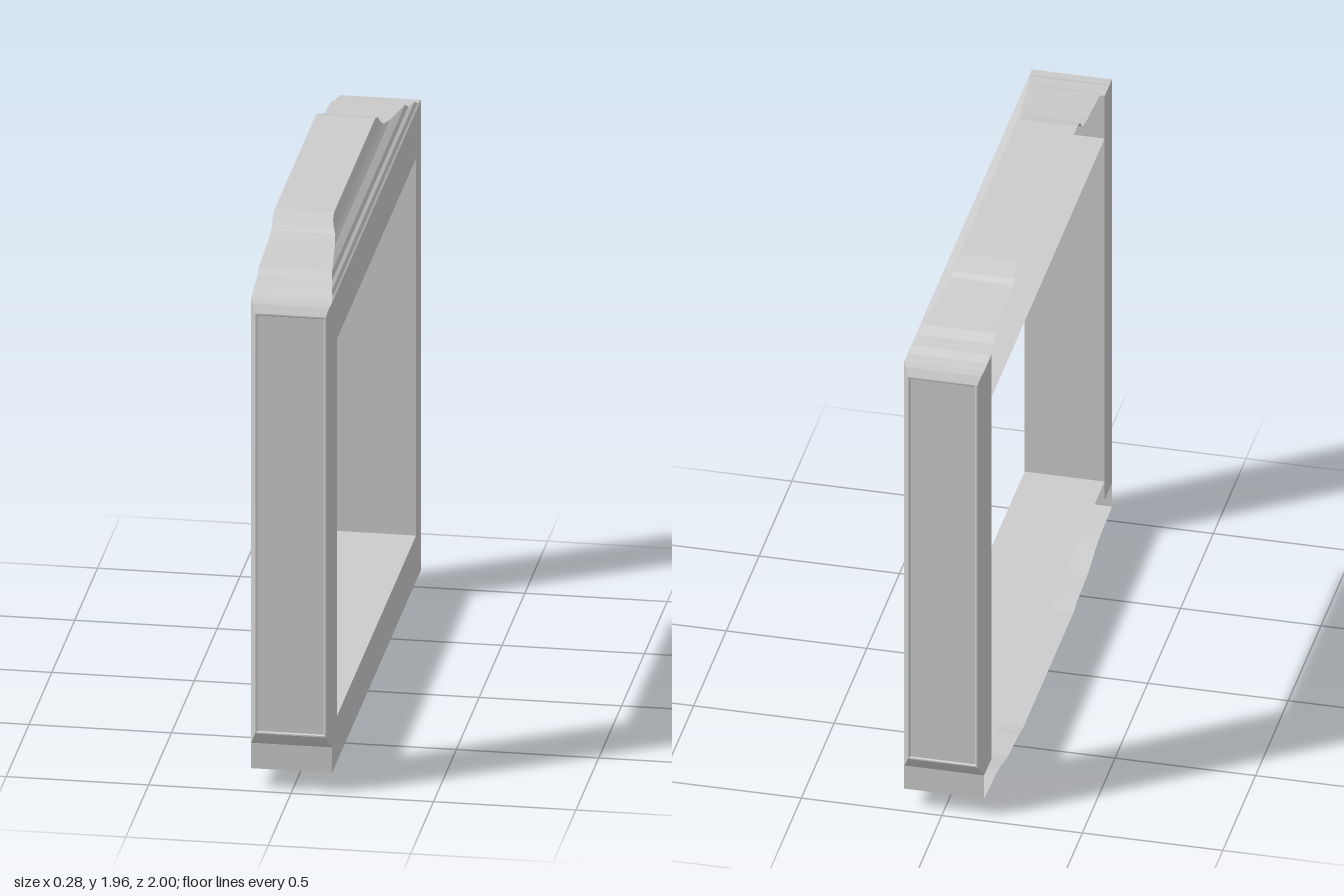
import * as THREE from 'three';

const BACK = -0.145, FRONT = 0.14;
const material = new THREE.MeshStandardMaterial({ color: 0xcccccc, side: THREE.DoubleSide });

// Skin four-cornered rings in order, capping the first and last ring.
// With closed = false the side between the last and first corner stays open.
function loft(name, rings, closed) {
  const pos = [];
  const quad = (a, b, c, d) => [a, b, c, a, c, d].forEach(p => pos.push(...p));
  const sides = closed ? 4 : 3;
  for (let i = 0; i + 1 < rings.length; i++) {
    const u = rings[i], l = rings[i + 1];
    for (let j = 0; j < sides; j++) {
      const k = (j + 1) % 4;
      quad(u[j], l[j], l[k], u[k]);
    }
  }
  quad(...rings[0]);
  quad(...[...rings[rings.length - 1]].reverse());
  const geometry = new THREE.BufferGeometry();
  geometry.setAttribute('position', new THREE.Float32BufferAttribute(pos, 3));
  geometry.computeVertexNormals();
  const mesh = new THREE.Mesh(geometry, material);
  mesh.name = name;
  return mesh;
}

// Mitred moulding, open at the back: each step is [half length z, front x, height y]
const moulding = (name, steps) => loft(name, steps.map(([z, x, y]) =>
  [[BACK, y, z], [x, y, z], [x, y, -z], [BACK, y, -z]]), false);

// Upright with a bevelled panel on its outer end: each step is [z, inset x, inset y]
function jamb(name, side) {
  const steps = [
    [0.865, 0, 0], [0.975, 0, 0], [0.985, 0.008, 0.015],
    [1.0, 0.018, 0.045], [1.0, 0.023, 0.05], [0.996, 0.027, 0.054],
  ];
  const rings = steps.map(([z, ix, iy]) => {
    const x0 = BACK + ix, x1 = FRONT - ix, y0 = 0.17 + iy, y1 = 1.825 - iy;
    const ring = [[x0, y0, side * z], [x1, y0, side * z], [x1, y1, side * z], [x0, y1, side * z]];
    return side > 0 ? ring.reverse() : ring;
  });
  return loft(name, rings, true);
}

export function createModel() {
  const group = new THREE.Group();
  group.name = 'windowFrame';

  // Stepped lintel, from the crown down to the top of the opening
  group.add(moulding('lintel', [
    [0.45, 0.063, 1.955], [0.49, 0.066, 1.945], [0.51, 0.072, 1.92], [0.53, 0.08, 1.905],
    [0.6, 0.09, 1.892], [0.8, 0.112, 1.873], [0.835, 0.117, 1.852], [0.9, 0.128, 1.845],
    [0.93, 0.134, 1.83], [0.975, FRONT, 1.825], [0.865, FRONT, 1.825], [0.865, FRONT, 1.65],
  ]));

  // Sill, from the bottom of the opening down to the curved apron
  group.add(moulding('sill', [
    [0.865, FRONT, 0.245], [0.865, FRONT, 0.17], [0.975, FRONT, 0.17], [0.975, FRONT, 0.075],
    [0.94, 0.132, 0.071], [0.8, 0.122, 0.066], [0.73, 0.115, 0.055], [0.66, 0.105, 0.035],
    [0.6, 0.095, 0.023], [0.45, 0.08, 0.013], [0.4, 0.065, 0.003], [0.38, 0.06, 0],
  ]));

  group.add(jamb('frontJamb', 1), jamb('backJamb', -1));
  return group;
}
